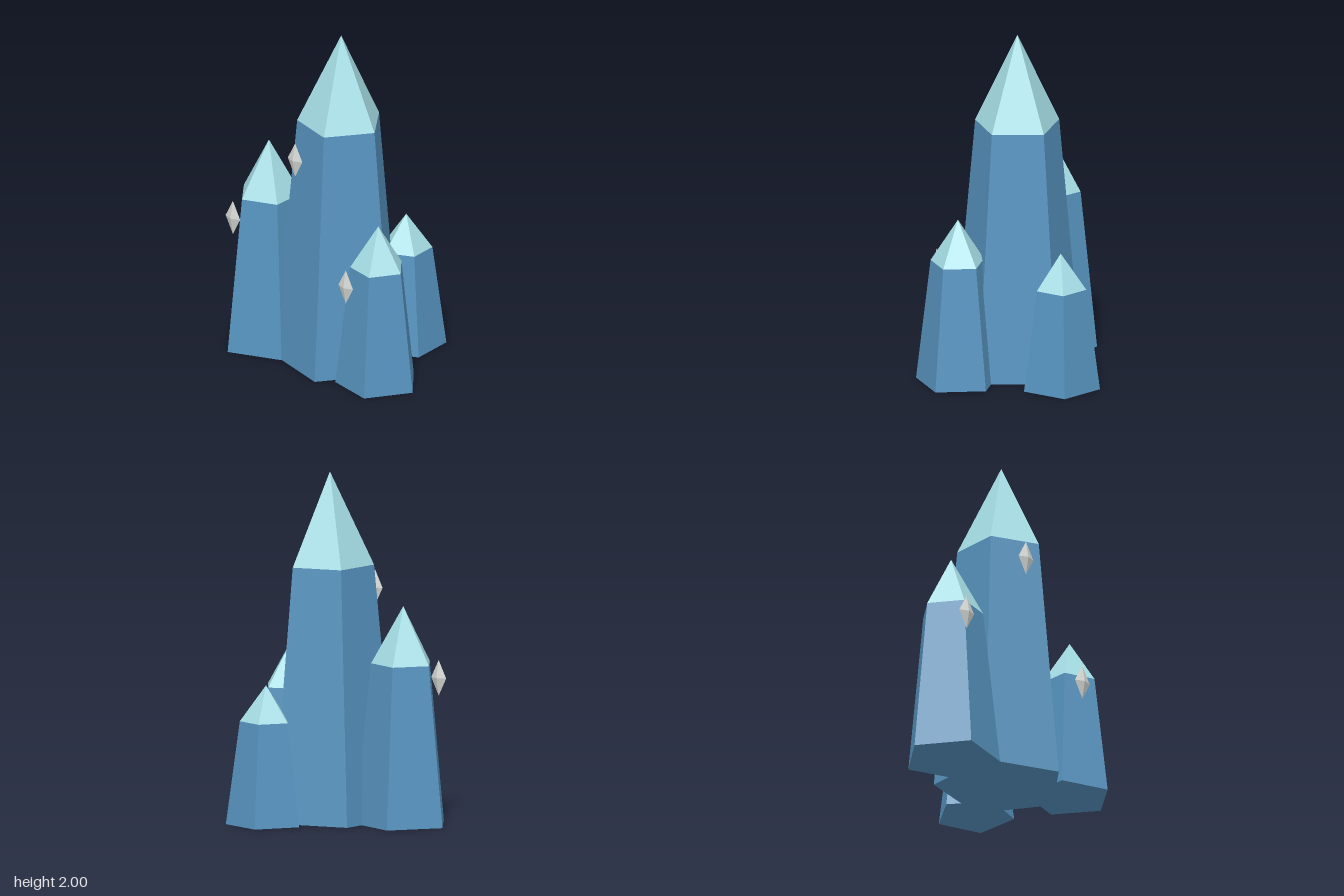
import * as THREE from 'three';

const material = (name, color) => {
  const m = new THREE.MeshStandardMaterial({ color, flatShading: true });
  m.name = name;
  return m;
};

export function createModel() {
  const blue = material('crystal blue', 0x5794c0);
  const ice = material('ice tip', 0xa5dde5);
  const silver = material('pale silver', 0xd2d5d1);
  const model = new THREE.Group();
  model.name = 'crystalCluster';

  const add = (parent, name, geometry, mat, x, y, z) => {
    const mesh = new THREE.Mesh(geometry, mat);
    mesh.name = name;
    mesh.position.set(x, y, z);
    parent.add(mesh);
    return mesh;
  };

  // Five-sided tapered crystals; angle turns one corner from +x towards +z
  const crystals = [
    { name: 'mainCrystal', x: 0.046, z: 0.12, r: 0.386, shoulder: 1.465, top: 2.0, angle: 0 },
    { name: 'sideCrystalRight', x: -0.413, z: 0.22, r: 0.281, shoulder: 0.925, top: 1.255, angle: 34 },
    { name: 'sideCrystalLeft', x: 0.443, z: 0.254, r: 0.246, shoulder: 0.715, top: 0.97, angle: -3.7 },
    { name: 'backCrystal', x: 0.187, z: -0.283, r: 0.229, shoulder: 0.593, top: 0.8, angle: 31 },
  ];
  for (const { name, x, z, r, shoulder, top, angle } of crystals) {
    const crystal = new THREE.Group();
    crystal.name = name;
    crystal.position.set(x, 0, z);
    const start = THREE.MathUtils.degToRad(90 - angle);
    const rTop = r * 0.653;
    const tip = top - shoulder;
    add(crystal, 'shaft', new THREE.CylinderGeometry(rTop, r, shoulder, 5, 1, false, start), blue, 0, shoulder / 2, 0);
    add(crystal, 'tip', new THREE.ConeGeometry(rTop, tip, 5, 1, true, start), ice, 0, shoulder + tip / 2, 0);
    model.add(crystal);
  }

  // Small flattened shards floating at the front
  const shards = [[-0.032, 1.305, 0.431], [-0.488, 0.823, 0.447], [0.37, 0.637, 0.453]];
  for (const [x, y, z] of shards) {
    add(model, 'shard', new THREE.OctahedronGeometry(1), silver, x, y, z).scale.set(0.055, 0.103, 0.022);
  }
  return model;
}
